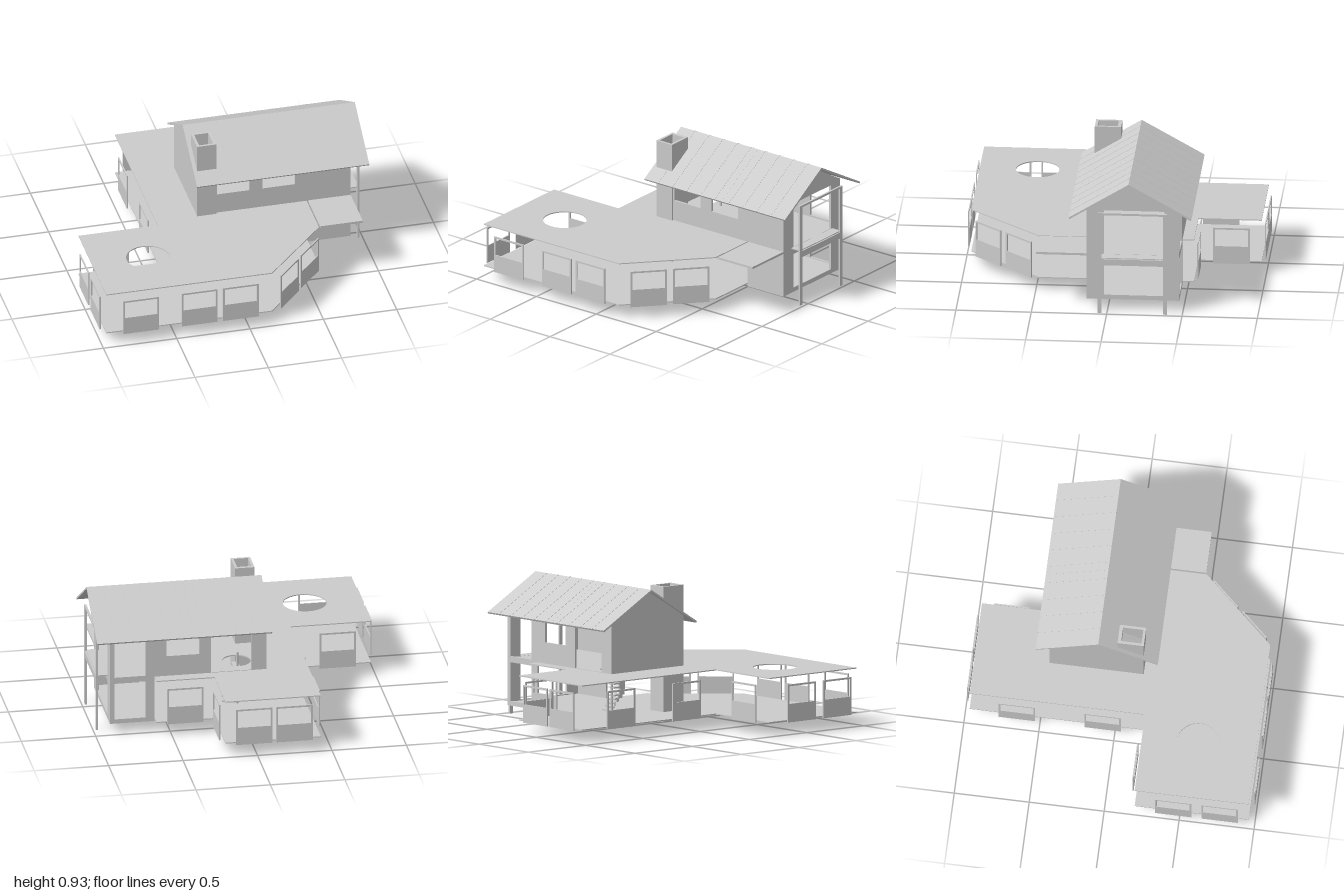
import * as THREE from 'three';

const mat = new THREE.MeshStandardMaterial({ color: 0xcccccc, side: THREE.DoubleSide });

function polygon(points, holes = []) {
  const shape = new THREE.Shape(points.map(([a, b]) => new THREE.Vector2(a, b)));
  for (const h of holes) shape.holes.push(h);
  return shape;
}
const rect = (x0, y0, x1, y1) => [[x0, y0], [x1, y0], [x1, y1], [x0, y1]];
const rectHole = (...r) => new THREE.Path(rect(...r).map(([a, b]) => new THREE.Vector2(a, b)));
function circleHole(x, z, r) {
  const p = new THREE.Path();
  p.absarc(x, -z, r, 0, Math.PI * 2, true);
  return p;
}

export function createModel() {
  const house = new THREE.Group();
  house.name = 'house';

  const add = (name, geo, parent = house) => {
    const m = new THREE.Mesh(geo, mat);
    m.name = name;
    parent.add(m);
    return m;
  };
  // Box given by its minimum and maximum corners
  const box = (name, x0, x1, y0, y1, z0, z1, parent = house) => {
    const m = add(name, new THREE.BoxGeometry(x1 - x0, y1 - y0, z1 - z0), parent);
    m.position.set((x0 + x1) / 2, (y0 + y1) / 2, (z0 + z1) / 2);
    return m;
  };
  const extrude = (shape, depth) =>
    new THREE.ExtrudeGeometry(shape, { depth, bevelEnabled: false, curveSegments: 24 });
  // Horizontal plate from an x/z outline
  const plate = (name, outline, y, thick, holes) => {
    const geo = extrude(polygon(outline.map(([x, z]) => [x, -z]), holes), thick);
    add(name, geo.rotateX(-Math.PI / 2)).position.y = y;
  };
  // Wall facing z
  const wallZ = (name, outline, z, holes) => {
    add(name, extrude(polygon(outline, holes), 0.014)).position.z = z;
  };
  // Wall facing x, drawn in (-z, y)
  const wallX = (name, outline, x, holes) => {
    add(name, extrude(polygon(outline, holes), 0.014).rotateY(Math.PI / 2)).position.x = x;
  };

  // Ground floor slab and flat roof share most of their outline
  const west = [[0.6, 0.14], [0.6, 0.48], [0.16, 0.96], [-0.97, 0.96], [-0.97, 0.2], [-0.43, 0.2],
    [-0.43, -0.97], [0.21, -0.97], [0.21, -0.55], [0.6, -0.55], [0.6, -0.47]];
  plate('groundFloor', [...west, [0.9, -0.47], [0.9, 0.14]], 0.087, 0.007);
  plate('flatRoof', [...west, [0.9, -0.47], [0.9, -0.39], [0.97, -0.39], [0.97, 0.05], [0.9, 0.05],
    [0.9, 0.14]], 0.382, 0.007, [circleHole(-0.59, 0.575, 0.145), circleHole(0.02, -0.3, 0.095)]);
  box('canopy', 0.61, 0.9, 0.375, 0.39, 0.14, 0.475);

  // Half-height window panels around the single-storey wing: centre x, z and heading
  const H = Math.PI / 2;
  const slant = Math.atan2(0.48, 0.44);
  const panels = [
    [-0.74, 0.985, 0], [-0.34, 0.985, 0], [-0.06, 0.985, 0],
    [0.5, 0.62, slant], [0.31, 0.835, slant],
    [-0.995, 0.46, H], [-0.995, 0.77, H], [-0.742, 0.175, 0],
    [-0.455, -0.08, H], [-0.455, -0.652, H],
    [-0.25, -0.99, 0], [0.02, -0.99, 0], [0.235, -0.772, H], [0.41, -0.57, 0],
  ];
  for (const [x, z, heading] of panels) {
    const g = new THREE.Group();
    g.name = 'windowPanel';
    const t = 0.004;
    box('lowerPanel', -0.122, 0.122, 0.082, 0.205, -t, t, g);
    box('topRail', -0.122, 0.122, 0.323, 0.335, -t, t, g);
    for (const s of [-1, 1]) {
      box('stile', s * 0.116 - 0.006, s * 0.116 + 0.006, 0.205, 0.323, -t, t, g);
    }
    g.position.set(x, 0, z);
    g.rotation.y = heading;
    house.add(g);
  }

  // Long walls: upper storey over the wing, full height at the east end
  const wallOutline = (top) => [[-0.15, 0.385], [0.6, 0.385], [0.6, 0.07], [0.9, 0.07], [0.9, top], [-0.15, top]];
  wallZ('frontWall', wallOutline(0.74), 0.126,
    [rectHole(-0.01, 0.53, 0.21, 0.66), rectHole(0.3, 0.53, 0.52, 0.66)]);
  wallZ('backWall', wallOutline(0.72), -0.474, [
    rectHole(-0.05, 0.392, 0.22, 0.67), rectHole(0.3, 0.53, 0.52, 0.66),
    rectHole(0.66, 0.1, 0.87, 0.36), rectHole(0.66, 0.4, 0.87, 0.67)]);

  // Gable walls; the east one is open on both storeys
  const gable = (y0) => [[-0.14, y0], [0.474, y0], [0.474, 0.715], [0.145, 0.908], [-0.14, 0.738]];
  wallX('westGable', gable(0.385), -0.15);
  wallX('eastGable', gable(0.07), 0.886,
    [rectHole(-0.03, 0.1, 0.375, 0.34), rectHole(-0.03, 0.39, 0.375, 0.7)]);

  // Balcony frame
  for (const z of [0.05, -0.385]) box('post', 0.966, 0.98, 0, 0.71, z - 0.013, z + 0.013);
  box('balconyBeam', 0.966, 0.98, 0.34, 0.383, -0.372, 0.037);
  box('topBeam', 0.966, 0.98, 0.696, 0.71, -0.372, 0.037);

  // Pitched roof in overlapping sheets with raised seams
  const ridge = [-0.145, 0.925];
  for (const [name, ez, ey] of [['frontSlope', 0.253, 0.68], ['backSlope', -0.563, 0.69]]) {
    const dz = ez - ridge[0], dy = ey - ridge[1];
    const len = Math.hypot(dz, dy);
    const g = new THREE.Group();
    g.name = name;
    const s = Math.sign(dz);
    box('roofSheet', -0.175, 0.47, -0.012, 0, 0, len, g);
    box('roofSheet', 0.4705, 1, -0.012, 0, 0, len, g);
    for (let i = 1; i < 10; i++) {
      const x = -0.175 + i * 0.1175;
      box('roofSeam', x - 0.0015, x + 0.0015, 0, 0.0015, 0, len, g);
    }
    g.position.set(0, ridge[1], ridge[0]);
    g.rotation.order = 'YXZ';
    g.rotation.y = s > 0 ? 0 : Math.PI;
    g.rotation.x = Math.atan2(-dy, Math.abs(dz));
    if (s < 0) g.position.x = 0.825; // turned about, so shift back over the house
    house.add(g);
  }

  // Chimney with open flue
  plate('chimney', rect(-0.15, -0.02, -0.02, 0.155), 0.03, 0.9, [rectHole(-0.133, -0.138, -0.037, -0.003)]);
  box('chimneyBase', -0.134, -0.036, 0.031, 0.7, 0.002, 0.139);

  // Winding stair: treads turn a quarter around a central post
  const stair = new THREE.Group();
  stair.name = 'windingStair';
  stair.position.set(0.02, 0, -0.325);
  house.add(stair);
  const post = add('stairPost', new THREE.CylinderGeometry(0.008, 0.008, 0.43, 12), stair);
  post.position.y = 0.245;
  const treads = 11;
  for (let i = 0; i < treads; i++) {
    const f = i / (treads - 1);
    const pivot = new THREE.Group();
    pivot.name = 'stairTread';
    box('tread', 0, 0.1, -0.005, 0.005, -0.022, 0.022, pivot);
    box('riser', 0.05, 0.1, -0.025, -0.005, 0.014, 0.022, pivot);
    pivot.position.y = 0.085 + f * 0.26;
    pivot.rotation.y = -H * Math.min(1, f * 1.6);
    stair.add(pivot);
  }
  return house;
}
